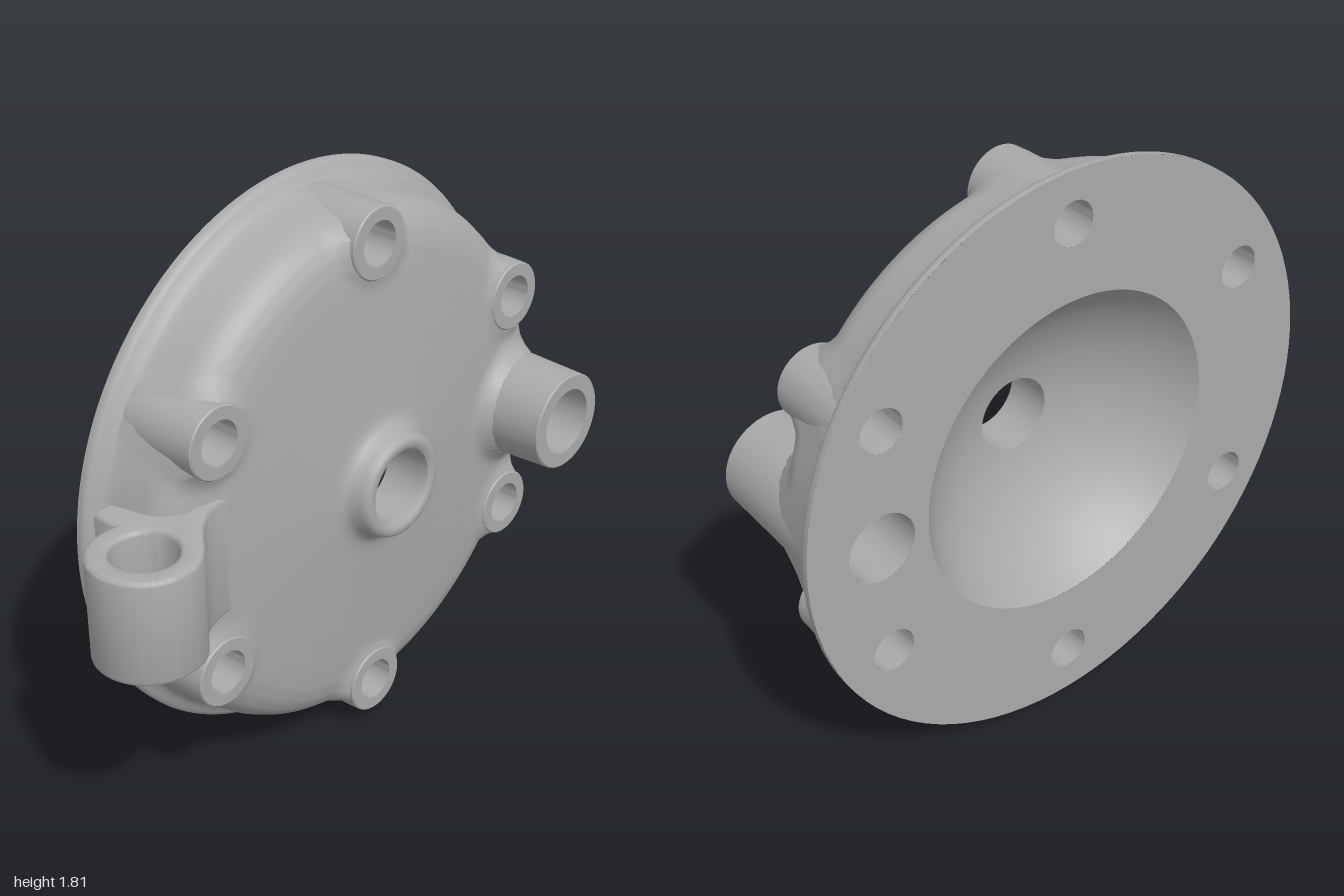
import * as THREE from 'three';
import { toCreasedNormals } from 'three/addons/utils/BufferGeometryUtils.js';

const CX = 0.09, CY = 0.905, BACK = -0.265;

// Bosses: position relative to the disc axis, outer and bore radius, front height
const bosses = [30, 90, 150, 210, 270, 330].map((deg) => {
  const a = THREE.MathUtils.degToRad(deg);
  return { name: 'boltBoss', x: 0.747 * Math.cos(a), y: 0.747 * Math.sin(a), r: 0.11, bore: 0.068, top: 0.05, flare: 0.006, fillet: 0.045 };
});
bosses.push({ name: 'portBoss', x: 0.665, y: 0, r: 0.158, bore: 0.108, top: 0.265, flare: 0.026, fillet: 0.06 });

// Revolve a [radius, z] profile round the z axis
function revolve(points, segments) {
  const profile = points.map(([r, z]) => new THREE.Vector2(r, z));
  return new THREE.LatheGeometry(profile, segments).rotateX(Math.PI / 2);
}

// Split long profile segments into short steps
function subdivide(points, step) {
  const out = [points[0]];
  for (let i = 1; i < points.length; i++) {
    const [a, b] = [points[i - 1], points[i]];
    const n = Math.max(1, Math.ceil(Math.hypot(b[0] - a[0], b[1] - a[1]) / step));
    for (let k = 1; k <= n; k++) out.push([a[0] + (b[0] - a[0]) * k / n, a[1] + (b[1] - a[1]) * k / n]);
  }
  return out;
}

// Domed cover with flange and central collar, filleted into the bosses and opened at their bores
function coverGeometry() {
  const outline = [
    [0.905, BACK], [0.905, -0.245], [0.899, -0.235], [0.878, -0.222], [0.86, -0.207], [0.85, -0.18],
    [0.838, -0.12], [0.83, -0.075], [0.815, -0.04], [0.79, -0.01], [0.755, 0.012], [0.71, 0.027],
    [0.64, 0.037], [0.5, 0.05], [0.35, 0.062], [0.23, 0.072], [0.2, 0.078], [0.182, 0.09],
    [0.172, 0.11], [0.165, 0.135], [0.158, 0.148], [0.148, 0.153], [0.13, 0.153], [0.12, 0.145],
    [0.118, 0.13], [0.118, -0.01],
  ];
  const geo = revolve(subdivide(outline, 0.02), 192);
  const p = geo.attributes.position;
  for (let i = 0; i < p.count; i++) {
    const x = p.getX(i), y = p.getY(i), z = p.getZ(i);
    if (z < -0.2) continue;
    let lift = 0;
    for (const b of bosses) {
      const d = Math.hypot(x - b.x, y - b.y) - b.r;
      const t = THREE.MathUtils.clamp(1 - d / b.fillet, 0, 1);
      lift = Math.max(lift, Math.min(b.top - 0.004 - z, b.fillet) * t * t);
    }
    p.setZ(i, z + lift);
  }
  const index = geo.index.array, kept = [];
  for (let i = 0; i < index.length; i += 3) {
    const tri = [index[i], index[i + 1], index[i + 2]];
    const mx = tri.reduce((s, v) => s + p.getX(v), 0) / 3;
    const my = tri.reduce((s, v) => s + p.getY(v), 0) / 3;
    if (!bosses.some((b) => Math.hypot(mx - b.x, my - b.y) < (b.r + b.bore) / 2)) kept.push(...tri);
  }
  geo.setIndex(kept);
  return toCreasedNormals(geo, 0.7);
}

// Tube-shaped boss: slightly drafted outside wall, flat front ring and through bore
function bossGeometry(b) {
  return toCreasedNormals(revolve([
    [b.r + b.flare, -0.215], [b.r + b.flare * 0.4, 0], [b.r, b.top - 0.004], [b.r - 0.004, b.top],
    [b.bore, b.top], [b.bore, BACK],
  ], 48), 0.7);
}

// Spherical hollow in the back
function hollowGeometry() {
  const R = 0.617, depth = 0.27, points = [];
  const a0 = Math.asin(0.118 / R), a1 = Math.asin(0.51 / R);
  for (let i = 0; i <= 24; i++) {
    const a = a0 + (a1 - a0) * i / 24;
    points.push([R * Math.sin(a), BACK + depth - R + R * Math.cos(a)]);
  }
  return revolve(points, 96);
}

// Flat back ring with bolt and port holes
function backGeometry() {
  const hole = (x, y, r) => new THREE.Path().absarc(x, y, r, 0, Math.PI * 2, true);
  const shape = new THREE.Shape().absarc(0, 0, 0.905, 0, Math.PI * 2, false);
  shape.holes.push(hole(0, 0, 0.51), ...bosses.map((b) => hole(b.x, b.y, b.bore)));
  return new THREE.ShapeGeometry(shape, 48).rotateY(Math.PI).scale(1, 1, 1).translate(0, 0, BACK);
}

// Hinge lug: eye and arm outline in (x, -z), extruded upwards
function lugGeometry() {
  const ex = -0.84, ez = -0.045, R = 0.16, bevel = 0.014;
  const shape = new THREE.Shape();
  shape.absarc(ex, ez, R, 1.25, Math.PI * 2 - 0.75, false);
  shape.bezierCurveTo(-0.67, -0.1, -0.65, -0.045, -0.5, -0.035);
  shape.lineTo(-0.5, 0.2);
  shape.lineTo(-0.8, 0.2);
  shape.quadraticCurveTo(-0.81, 0.13, ex + R * Math.cos(1.25), ez + R * Math.sin(1.25));
  shape.holes.push(new THREE.Path().absarc(ex, ez, 0.095, 0, Math.PI * 2, true));
  const geo = new THREE.ExtrudeGeometry(shape, {
    depth: 0.325 - 2 * bevel, curveSegments: 32, bevelEnabled: true,
    bevelThickness: bevel, bevelSize: bevel, bevelOffset: -bevel, bevelSegments: 3,
  });
  geo.rotateX(-Math.PI / 2).translate(0, 0.745 + bevel, 0);
  // Widen the arm where it meets the cover
  const p = geo.attributes.position;
  for (let i = 0; i < p.count; i++) {
    const t = THREE.MathUtils.smoothstep(p.getX(i), -0.82, -0.6);
    p.setY(i, 0.908 + (p.getY(i) - 0.908) * (1 + 0.17 * t));
  }
  return toCreasedNormals(geo, 0.6);
}

export function createModel() {
  const metal = new THREE.MeshStandardMaterial({ color: 0xaaaaaa });
  metal.name = 'castGrey';
  const model = new THREE.Group();
  model.name = 'coverPlate';
  const disc = new THREE.Group();
  disc.name = 'disc';
  disc.position.set(CX, CY, 0);
  model.add(disc);

  const add = (parent, name, geometry) => {
    const mesh = new THREE.Mesh(geometry, metal);
    mesh.name = name;
    parent.add(mesh);
    return mesh;
  };

  add(disc, 'cover', coverGeometry());
  add(disc, 'backHollow', hollowGeometry());
  // The back outline is mirrored by its half turn, so mirror the port position to match
  const back = backGeometry();
  back.rotateZ(Math.PI);
  add(disc, 'backFace', back);
  for (const b of bosses) add(disc, b.name, bossGeometry(b)).position.set(b.x, b.y, 0);
  add(model, 'hingeLug', lugGeometry());
  return model;
}
